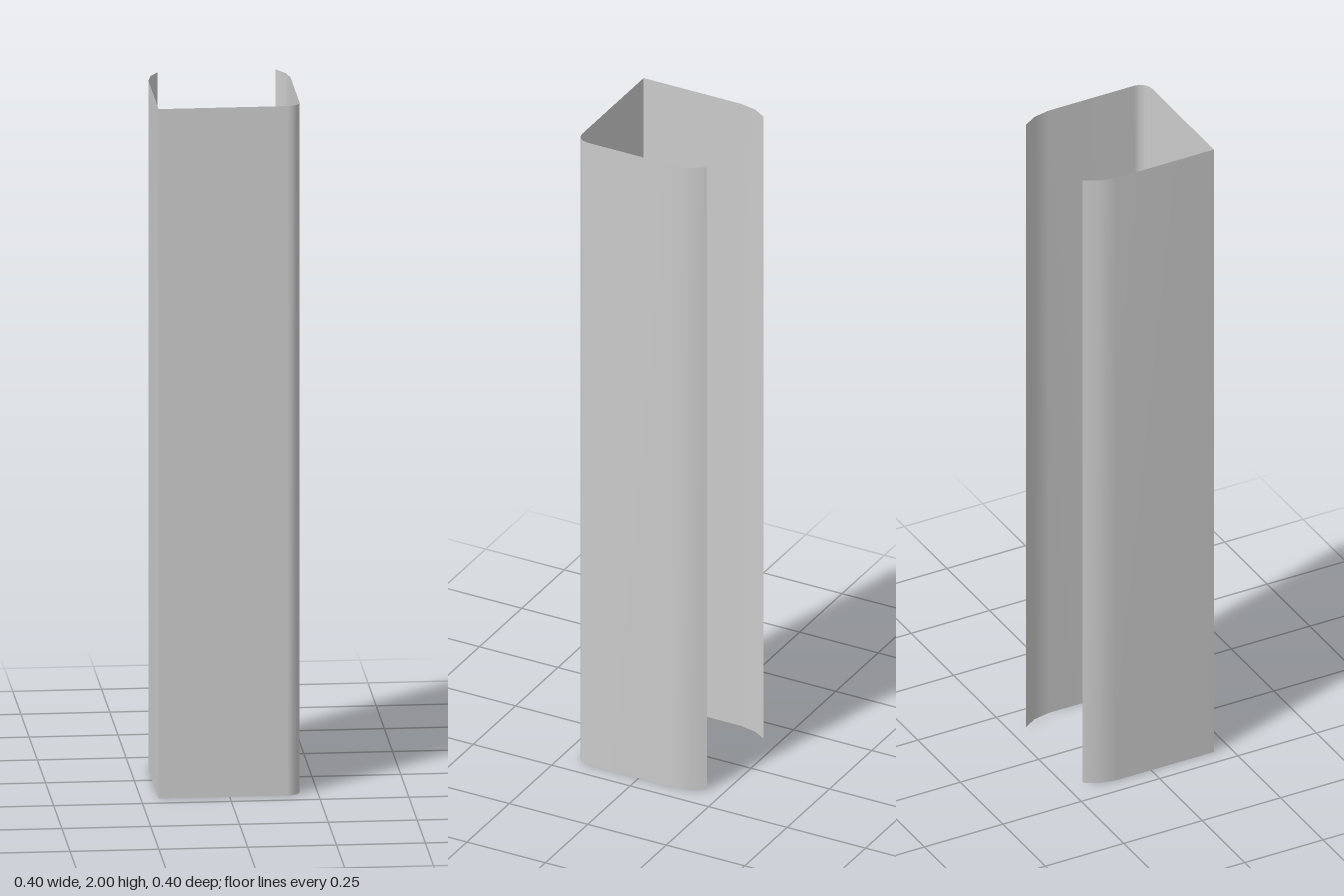
import * as THREE from 'three';

const HEIGHT = 2;

// Upright thin sheet following a plan outline of [x, z] points, outside to the right of travel
function sheet(name, outline, material) {
  const positions = [];
  const index = [];
  outline.forEach(([x, z], i) => {
    positions.push(x, 0, z, x, HEIGHT, z);
    if (i === outline.length - 1) return;
    const a = i * 2;
    index.push(a, a + 2, a + 3, a, a + 3, a + 1);
  });
  const geometry = new THREE.BufferGeometry();
  geometry.setAttribute('position', new THREE.Float32BufferAttribute(positions, 3));
  geometry.setIndex(index);
  geometry.computeVertexNormals();
  const mesh = new THREE.Mesh(geometry, material);
  mesh.name = name;
  return mesh;
}

export function createModel() {
  const group = new THREE.Group();
  group.name = 'openChannel';
  const material = new THREE.MeshStandardMaterial({ color: 0xcccccc, side: THREE.DoubleSide });

  // Side wall whose back edge bends inward, listed front to back
  const lip = [[0.2, -0.11], [0.19, -0.16], [0.166, -0.2]];

  // Rounded front corner between the front wall and the side wall
  const corner = [];
  const radius = 0.037;
  for (let i = 0; i <= 4; i++) {
    const t = (i / 4) * Math.PI / 2;
    corner.push([0.2 - radius + radius * Math.sin(t), 0.2 - radius + radius * Math.cos(t)]);
  }

  // Front wall running round the soft corner into one side
  group.add(sheet('frontAndLeftWall', [[-0.2, 0.2], ...corner, ...lip], material));

  // Opposite side, mirrored, meeting the front at a sharp edge
  const mirrored = lip.map(([x, z]) => [-x, z]).reverse();
  group.add(sheet('rightWall', [...mirrored, [-0.2, 0.2]], material));

  return group;
}
